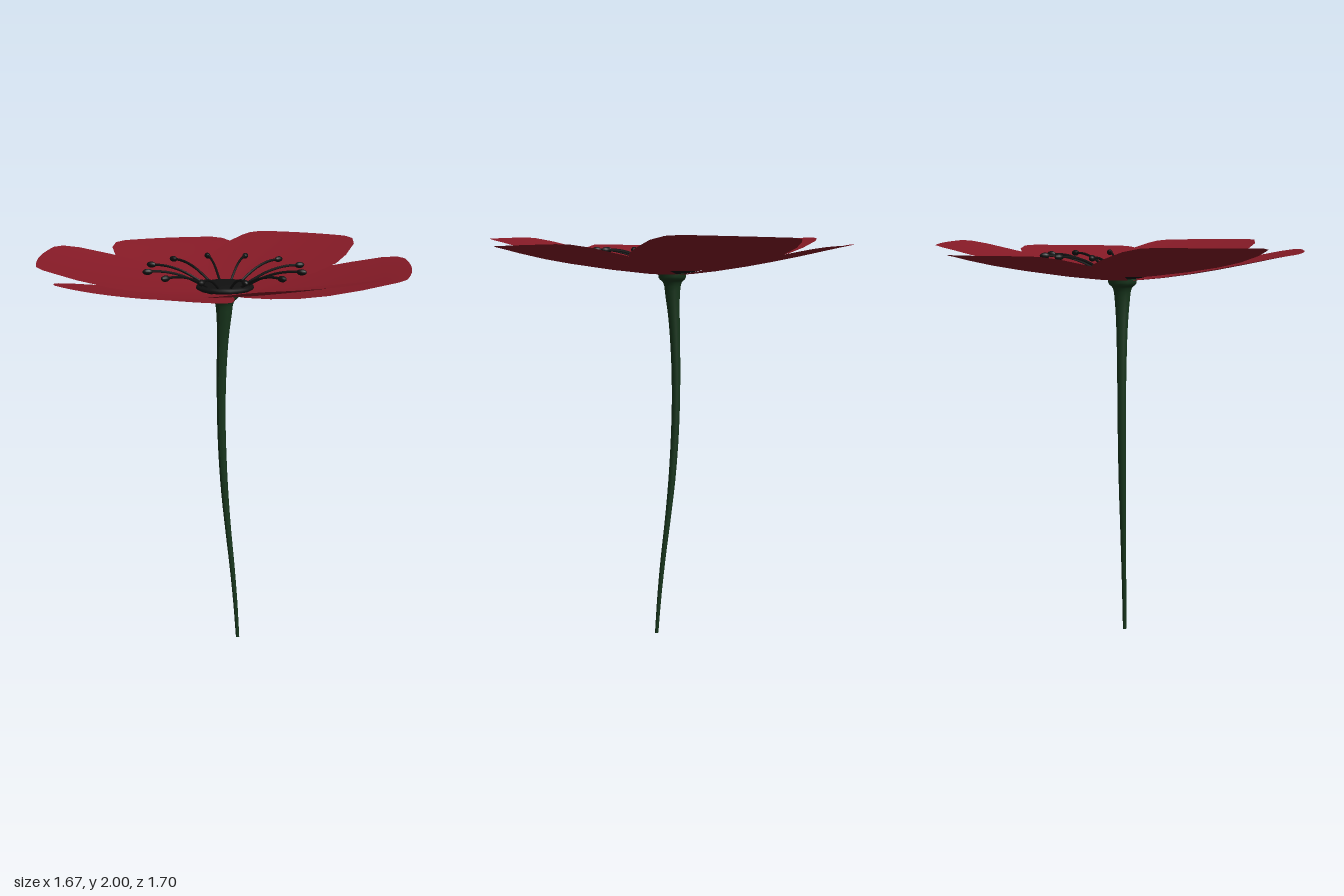
import * as THREE from 'three';

const CX = -0.012, CZ = 0.008; // axis of the flower head

const red = new THREE.MeshStandardMaterial({ color: 0x85192a, side: THREE.DoubleSide });
const green = new THREE.MeshStandardMaterial({ color: 0x17351c });
const black = new THREE.MeshStandardMaterial({ color: 0x101010 });
red.color.set(0x851a26);

// Petal outline as [across, along] pairs from base to tip, one list per side
const LEFT = [[-0.02, 0], [-0.14, 0.1], [-0.25, 0.22], [-0.34, 0.35], [-0.385, 0.47],
  [-0.393, 0.61], [-0.375, 0.71], [-0.355, 0.765], [-0.31, 0.805]];
const RIGHT = [[0.02, 0], [0.12, 0.1], [0.2, 0.22], [0.28, 0.36], [0.32, 0.49],
  [0.315, 0.6], [0.285, 0.74], [0.24, 0.81], [0.18, 0.84]];

// Petal pointing to -z: a plane stretched between both outlines and cupped upwards
function petalGeometry(rise) {
  const rows = LEFT.length - 1, cols = 10;
  const geo = new THREE.PlaneGeometry(1, 1, cols, rows);
  const pos = geo.attributes.position;
  for (let i = 0; i < pos.count; i++) {
    const row = rows - Math.floor(i / (cols + 1));
    const t = (i % (cols + 1)) / cols, u = 2 * t - 1, v = row / rows;
    const across = THREE.MathUtils.lerp(LEFT[row][0], RIGHT[row][0], t);
    const along = THREE.MathUtils.lerp(LEFT[row][1], RIGHT[row][1], t);
    const bow = 0.027 * (1 - u * u) * v ** 4;
    const cup = 0.014 * u * u * Math.sin(Math.PI * v);
    pos.setXYZ(i, across, rise * (along / 0.83) ** 1.45 + cup, -along - bow);
  }
  geo.computeVertexNormals();
  return geo;
}

// Ring of three petals; the lower ring is mirrored to fill the gaps
function petalRing(name, y, rise, mirror) {
  const ring = new THREE.Group();
  ring.name = name;
  const geo = petalGeometry(rise);
  for (let i = 0; i < 3; i++) {
    const holder = new THREE.Group();
    const petal = new THREE.Mesh(geo, red);
    petal.name = 'petal';
    petal.scale.z = mirror ? -1 : 1;
    holder.rotation.y = i * Math.PI * 2 / 3;
    holder.add(petal);
    ring.add(holder);
  }
  ring.position.set(CX, y, CZ);
  return ring;
}

// Bent, tapering stem that flares below the petals; curve holds (x, y, radius)
function stem() {
  const curve = new THREE.CatmullRomCurve3([
    [0.07, 0, 0.009], [0.055, 0.2, 0.011], [0.035, 0.4, 0.013], [0.011, 0.6, 0.015],
    [-0.01, 0.8, 0.018], [-0.024, 1, 0.02], [-0.031, 1.2, 0.021], [-0.03, 1.4, 0.023],
    [-0.022, 1.6, 0.028], [-0.014, 1.72, 0.036], [-0.013, 1.785, 0.046],
    [-0.012, 1.805, 0.066], [-0.012, 1.826, 0.07]].map(p => new THREE.Vector3(...p)));
  const geo = new THREE.CylinderGeometry(1, 1, 1, 12, 36);
  const pos = geo.attributes.position;
  for (let i = 0; i < pos.count; i++) {
    const p = curve.getPoint(pos.getY(i) + 0.5);
    pos.setXYZ(i, p.x + pos.getX(i) * p.z, p.y, 0.013 + pos.getZ(i) * p.z);
  }
  geo.computeVertexNormals();
  const mesh = new THREE.Mesh(geo, green);
  mesh.name = 'stem';
  return mesh;
}

// Twelve arched filaments, each ending in a small anther
function stamens() {
  const group = new THREE.Group();
  group.name = 'stamens';
  const path = new THREE.CatmullRomCurve3([[0.08, 1.85], [0.14, 1.884], [0.21, 1.917],
    [0.29, 1.937], [0.36, 1.94]].map(([r, y]) => new THREE.Vector3(r, y, 0)));
  const filamentGeo = new THREE.TubeGeometry(path, 12, 0.006, 6);
  const antherGeo = new THREE.SphereGeometry(1, 10, 8).scale(0.024, 0.014, 0.014);
  for (let i = 0; i < 12; i++) {
    const stamen = new THREE.Group();
    const filament = new THREE.Mesh(filamentGeo, black);
    filament.name = 'filament';
    const anther = new THREE.Mesh(antherGeo, black);
    anther.name = 'anther';
    anther.position.set(0.362, 1.939, 0);
    stamen.add(filament, anther);
    stamen.rotation.y = THREE.MathUtils.degToRad(18 + 30 * i);
    group.add(stamen);
  }
  group.position.set(CX, 0, CZ);
  return group;
}

export function createModel() {
  const flower = new THREE.Group();
  flower.name = 'flower';

  // Flattened centre button
  const centre = new THREE.Mesh(new THREE.SphereGeometry(0.137, 16, 12), black);
  centre.name = 'centre';
  centre.scale.y = 0.2;
  centre.position.set(CX, 1.853, CZ);

  flower.add(
    stem(),
    petalRing('lowerPetals', 1.82, 0.143, true),
    petalRing('upperPetals', 1.832, 0.166, false),
    centre,
    stamens(),
  );
  return flower;
}
